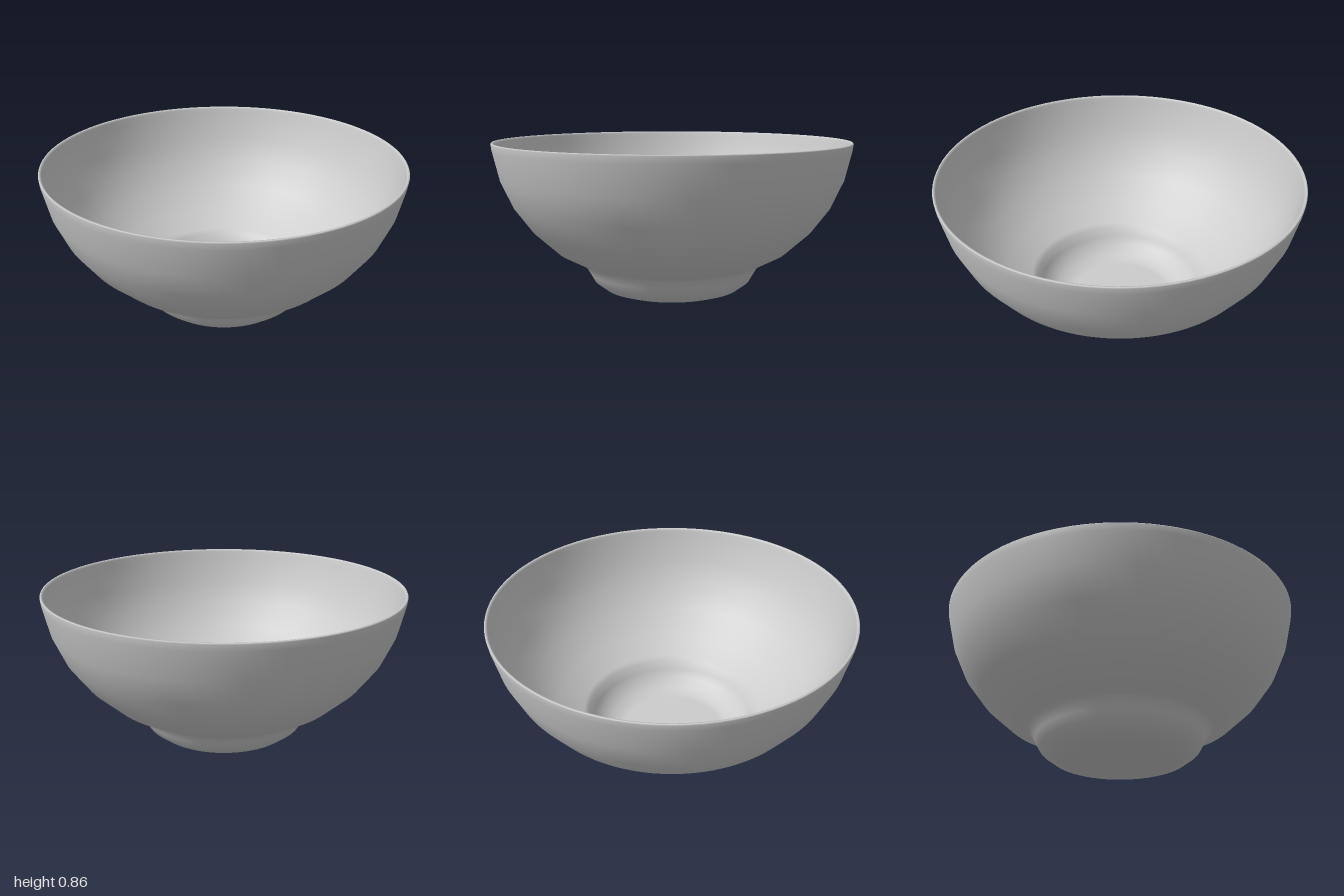
import * as THREE from 'three';

export function createModel() {
  const group = new THREE.Group();
  group.name = 'bowl';
  const glaze = new THREE.MeshStandardMaterial({ color: 0xcccccc });
  glaze.name = 'pale grey glaze';

  // Outer wall, from the base up to just below the rim
  const outer = [
    [0, 0], [0.3, 0], [0.33, 0.004], [0.39, 0.024], [0.446, 0.067], [0.473, 0.115],
    [0.5, 0.16], [0.525, 0.177], [0.655, 0.247], [0.79, 0.37], [0.89, 0.505],
    [0.957, 0.655], [0.995, 0.815], [1, 0.85],
  ];
  // Thin lip, then inner wall following the outer one down to the floor
  const inner = [
    [0.997, 0.856], [0.988, 0.856], [0.983, 0.845], [0.978, 0.815], [0.941, 0.66],
    [0.875, 0.514], [0.778, 0.383], [0.645, 0.262], [0.515, 0.192], [0.487, 0.17],
    [0.459, 0.123], [0.434, 0.078], [0.383, 0.04], [0.33, 0.02], [0.3, 0.016], [0, 0.016],
  ];
  const profile = [...outer, ...inner].map(([r, y]) => new THREE.Vector2(r, y));

  const shell = new THREE.Mesh(new THREE.LatheGeometry(profile, 96), glaze);
  shell.name = 'bowlShell';
  group.add(shell);
  return group;
}
